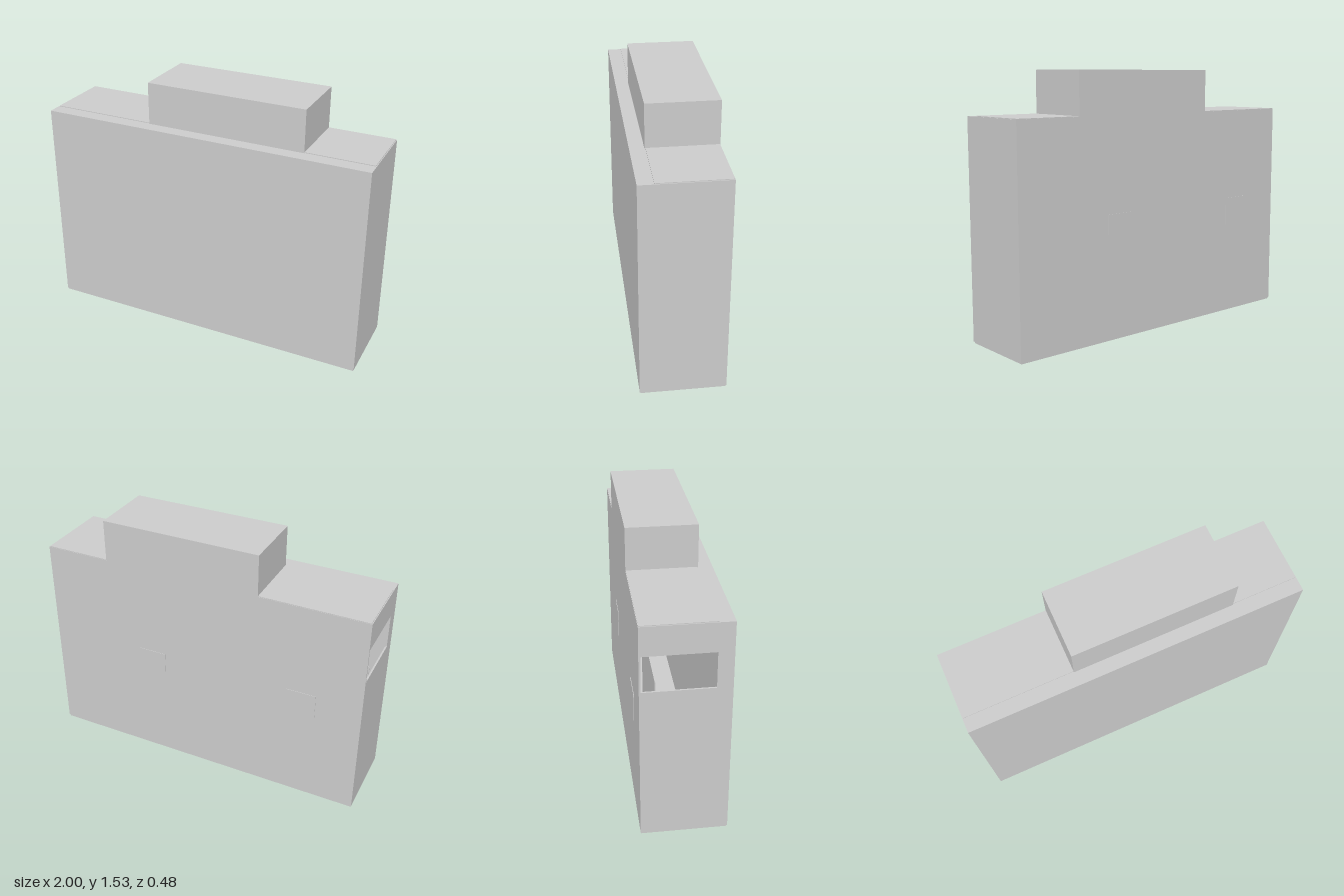
import * as THREE from 'three';

export function createModel() {
  const model = new THREE.Group();
  const material = new THREE.MeshStandardMaterial({ color: 0xcccccc });

  // Box given by its limits along each axis
  function block(name, [x0, x1], [y0, y1], [z0, z1], parent = model) {
    const geometry = new THREE.BoxGeometry(x1 - x0, y1 - y0, z1 - z0);
    geometry.translate((x0 + x1) / 2, (y0 + y1) / 2, (z0 + z1) / 2);
    const mesh = new THREE.Mesh(geometry, material);
    mesh.name = name;
    parent.add(mesh);
    return mesh;
  }

  // Hollow main building: front slab, thin walls, floor and roof
  const base = 0.01, eaves = 1.28;
  block('floor', [-0.995, 0.995], [0, base], [-0.235, 0.235]);
  block('frontSlab', [-1, 1], [base, eaves], [0.155, 0.24]);
  block('backWall', [-1, 1], [base, eaves], [-0.238, -0.228]);
  block('leftWall', [0.99, 1], [base, eaves], [-0.228, 0.155]);
  block('roof', [-0.995, 0.995], [eaves - 0.01, eaves + 0.004], [-0.236, 0.155]);

  // Right wall, leaving a wide window opening
  const rightWall = new THREE.Group();
  rightWall.name = 'rightWall';
  model.add(rightWall);
  block('wallBelowWindow', [-1, -0.99], [base, 0.91], [-0.228, 0.155], rightWall);
  block('wallAboveWindow', [-1, -0.99], [1.115, eaves], [-0.228, 0.155], rightWall);

  // Low partition just inside the window
  block('partition', [-0.99, -0.4], [base, 0.96], [-0.157, -0.152]);

  // Rooftop block, flush with the back
  block('rooftopBlock', [-0.36, 0.6], [eaves, 1.53], [-0.238, 0.16]);

  // Thin panels on the back wall
  for (const x of [-0.73, 0.23]) {
    block('backPanel', [x, x + 0.175], [0.56, 0.73], [-0.241, -0.238]);
  }

  return model;
}
